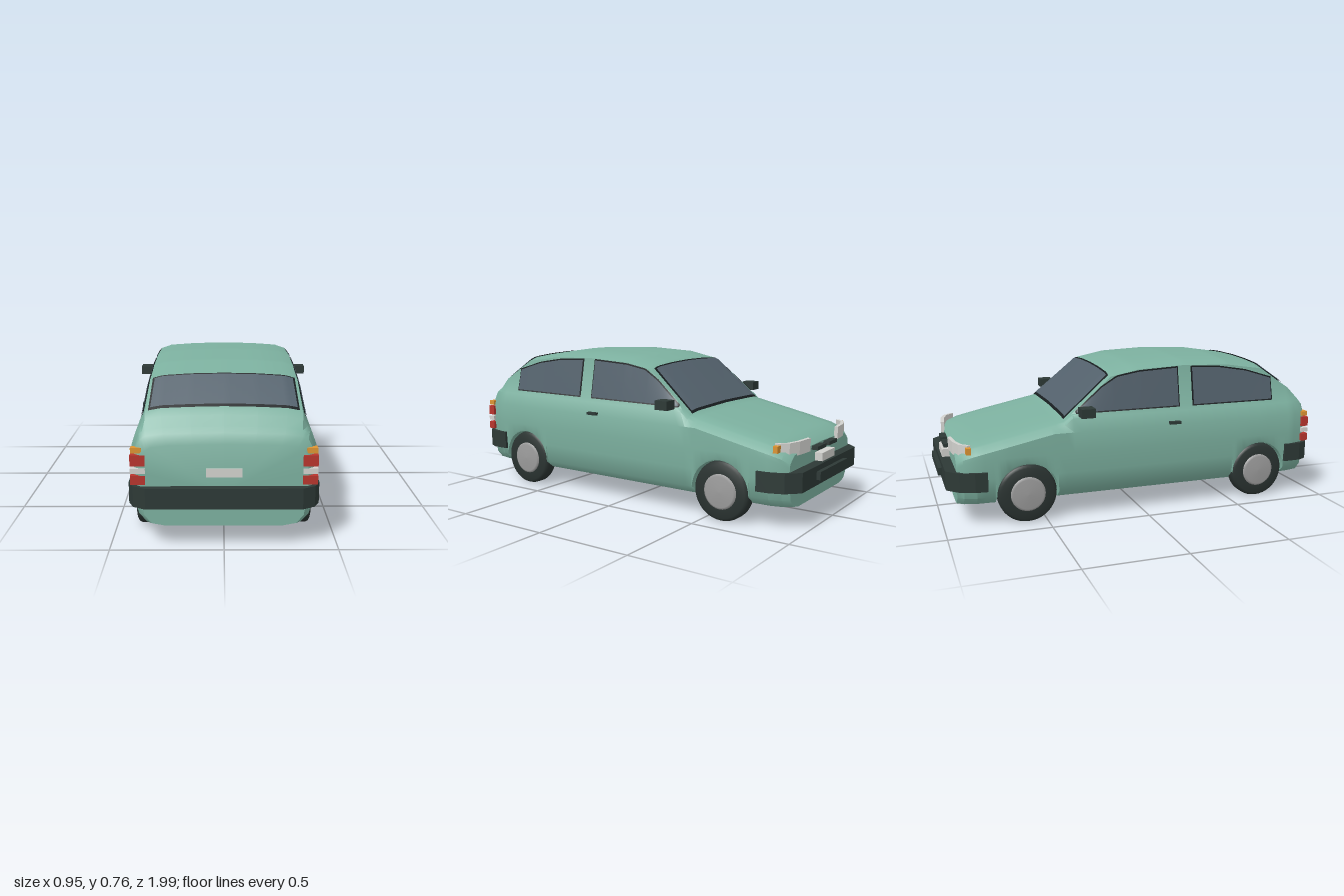
import * as THREE from 'three';
import { toCreasedNormals } from 'three/addons/utils/BufferGeometryUtils.js';
import { ParametricGeometry } from 'three/addons/geometries/ParametricGeometry.js';

const material = (name, color, side = THREE.FrontSide) => {
  const m = new THREE.MeshStandardMaterial({ color, side });
  m.name = name;
  return m;
};
const lerp = THREE.MathUtils.lerp;
const WHEEL_Z = [-0.595, 0.665], WHEEL_R = 0.147, ARCH_R = 0.153;

// Body stations along the car: z, top height, width factor
const STATIONS = [
  [-0.93, 0.365, 0.87], [-0.9, 0.39, 0.94], [-0.84, 0.41, 0.985], [-0.7, 0.44, 1], [-0.4, 0.502, 1],
  [-0.15, 0.72, 1], [0, 0.75, 1], [0.25, 0.76, 1], [0.5, 0.75, 1], [0.69, 0.72, 1],
  [0.86, 0.6, 0.99], [0.94, 0.515, 0.94], [0.96, 0.47, 0.88],
];

// Half cross-section at z, from bottom centre to top centre
function section(z, arch = 0) {
  let i = 0;
  while (i < STATIONS.length - 2 && z > STATIONS[i + 1][0]) i++;
  const [a, b] = [STATIONS[i], STATIONS[i + 1]];
  const k = (z - a[0]) / (b[0] - a[0]);
  const top = lerp(a[1], b[1], k), w = lerp(a[2], b[2], k), base = 0.097;
  const t = THREE.MathUtils.clamp((top - 0.5) / 0.24, 0, 1);
  const pts = [
    [0, base], [0.29, base], [0.36, base + 0.012], [0.395, base + 0.05],
    [0.41, 0.24], [0.413, Math.min(0.34, top - 0.07)], [0.41, Math.min(0.44, top - 0.05)],
    [0.385, Math.min(0.505, top - 0.03)], [0.37, Math.min(0.525, top - 0.022)],
    [lerp(0.36, 0.332, t), top - lerp(0.015, 0.03, t)], [0.28, top - lerp(0.006, 0.012, t)],
    [0.15, top - 0.003], [0, top],
  ].map(([x, y]) => [x * w, y]);
  if (arch) {
    pts[2] = [0.3, arch];
    pts[3] = [0.407 * w, arch];
    pts[4][1] = Math.max(pts[4][1], arch + 0.008);
    pts[5][1] = Math.max(pts[5][1], arch + 0.016);
  }
  return pts;
}

// Look up the body surface: side x at a height, top y at a width
function lookup(pts, axis, value) {
  for (let i = 0; i < pts.length - 1; i++) {
    const a = pts[i], b = pts[i + 1], lo = Math.min(a[axis], b[axis]), hi = Math.max(a[axis], b[axis]);
    if (value >= lo && value <= hi && hi > lo)
      return lerp(a[1 - axis], b[1 - axis], (value - a[axis]) / (b[axis] - a[axis]));
  }
  return pts[0][1 - axis];
}
const sideX = (y, z) => lookup(section(z).slice(3, 10), 1, y);
const topY = (x, z) => lookup(section(z).slice(7), 0, Math.abs(x));

// Lofted shell with wheel arches cut into its flanks
function bodyGeometry() {
  const inArch = z => WHEEL_Z.some(c => Math.abs(z - c) < ARCH_R + 0.004);
  const rings = STATIONS.map(s => [s[0], 0]);
  for (let z = -0.8; z < 0.94; z += 0.04) rings.push([z, 0]);
  const list = rings.filter(r => !inArch(r[0]));
  for (const c of WHEEL_Z) {
    list.push([c - ARCH_R - 0.001, 0], [c + ARCH_R + 0.001, 0]);
    for (let i = 0; i <= 20; i++) {
      const a = Math.PI * i / 20;
      list.push([c - ARCH_R * Math.cos(a), WHEEL_R + ARCH_R * Math.sin(a)]);
    }
  }
  list.sort((a, b) => a[0] - b[0]);
  const loops = list.map(([z, arch]) => {
    const half = section(z, arch);
    const mirror = half.slice(1, -1).reverse().map(([x, y]) => [-x, y]);
    return half.concat(mirror).map(([x, y]) => [x, y, z]);
  });
  const n = loops[0].length, pos = [];
  const tri = (...p) => p.forEach(v => pos.push(...v));
  const first = loops[0], last = loops[loops.length - 1];
  for (let j = 0; j < n; j++) {
    const k = (j + 1) % n;
    for (let i = 0; i < loops.length - 1; i++) {
      const a = loops[i][j], b = loops[i][k], c = loops[i + 1][k], d = loops[i + 1][j];
      tri(a, b, c);
      tri(a, c, d);
    }
    tri([0, 0.25, first[0][2]], first[k], first[j]);
    tri([0, 0.25, last[0][2]], last[j], last[k]);
  }
  const g = new THREE.BufferGeometry();
  g.setAttribute('position', new THREE.Float32BufferAttribute(pos, 3));
  return toCreasedNormals(g, 0.6);
}

// Flat plan outline [x, z] raised between two heights
function slab(points, y0, y1) {
  const shape = new THREE.Shape(points.map(p => new THREE.Vector2(p[0], p[1])));
  return new THREE.ExtrudeGeometry(shape, { depth: y1 - y0, bevelEnabled: false })
    .rotateX(Math.PI / 2).translate(0, y1, 0);
}

export function createModel() {
  const car = new THREE.Group();
  car.name = 'hatchbackCar';
  const paint = material('greenPaint', 0x7cb09f);
  const glass = material('tintedGlass', 0x53616c, THREE.DoubleSide);
  const seal = material('blackSeal', 0x171c1e, THREE.DoubleSide);
  const plastic = material('darkPlastic', 0x2d3936);
  const rubber = material('tyreRubber', 0x2a3331);
  const metal = material('hubGrey', 0x9c9c9c);
  const white = material('lampWhite', 0xd2d2ce);
  const red = material('lampRed', 0xb8352d);
  const orange = material('lampOrange', 0xdc9433);

  const add = (name, geometry, mat) => {
    const m = new THREE.Mesh(geometry, mat);
    m.name = name;
    car.add(m);
    return m;
  };
  // Box from its lower and upper limits on each axis
  const box = (name, mat, x0, x1, y0, y1, z0, z1) =>
    add(name, new THREE.BoxGeometry(Math.abs(x1 - x0), y1 - y0, z1 - z0), mat)
      .position.set((x0 + x1) / 2, (y0 + y1) / 2, (z0 + z1) / 2);

  add('body', bodyGeometry(), paint);

  // Windscreen and rear window follow the top of the body
  const screen = (name, z0, z1, w0, w1) => {
    for (const [part, mat, grow, lift] of [['Seal', seal, 0.009, 0.005], ['Glass', glass, 0, 0.009]])
      add(name + part, new ParametricGeometry((u, v, p) => {
        const z = lerp(z0 - grow, z1 + grow, v), x = (u * 2 - 1) * (lerp(w0, w1, v) + grow);
        p.set(x, topY(x, z) + lift, z);
      }, 24, 12), mat);
  };
  screen('windscreen', -0.39, -0.165, 0.33, 0.305);
  screen('rearWindow', 0.7, 0.845, 0.312, 0.322);

  // Side windows: upper outline [z, y] above a level sill
  const sideWindow = (name, s, outline) => {
    const zs = outline.map(p => p[0]), z0 = zs[0], z1 = zs[zs.length - 1];
    for (const [part, mat, grow, lift] of [['Seal', seal, 0.007, 0.004], ['Glass', glass, 0, 0.008]])
      add(name + part, new ParametricGeometry((u, v, p) => {
        const z = lerp(z0 - grow, z1 + grow, u);
        const upper = lookup(outline, 0, THREE.MathUtils.clamp(z, z0, z1));
        const hi = Math.min(upper + grow, section(z)[9][1] - 0.007 + grow);
        const lo = Math.min(0.53 - grow, hi);
        const y = lerp(lo, hi, v);
        p.set(s * (sideX(y, z) + lift), y, z);
      }, 36, 6), mat);
  };

  for (const s of [1, -1]) {
    const side = s > 0 ? 'left' : 'right';
    sideWindow(side + 'FrontWindow', s, [[-0.335, 0.54], [-0.24, 0.62], [-0.12, 0.69], [0, 0.71], [0.205, 0.72]]);
    sideWindow(side + 'BackWindow', s, [[0.29, 0.718], [0.45, 0.71], [0.6, 0.685], [0.745, 0.64]]);

    // Wheels
    const tyre = [[0.08, -0.04], [0.13, -0.04], [0.142, -0.033], [0.147, -0.02],
      [0.147, 0.02], [0.142, 0.033], [0.13, 0.04], [0.08, 0.04]].map(p => new THREE.Vector2(...p));
    const hub = [[0.088, 0.03], [0.086, 0.043], [0.075, 0.05], [0, 0.053]].map(p => new THREE.Vector2(...p));
    WHEEL_Z.forEach((z, i) => {
      const wheel = new THREE.Group();
      wheel.name = side + (i ? 'BackWheel' : 'FrontWheel');
      const tyreMesh = new THREE.Mesh(toCreasedNormals(new THREE.LatheGeometry(tyre, 40), 0.7), rubber);
      const hubMesh = new THREE.Mesh(new THREE.LatheGeometry(hub, 32), metal);
      const inner = new THREE.Mesh(new THREE.CylinderGeometry(0.085, 0.085, 0.07, 24), rubber);
      tyreMesh.name = 'tyre';
      hubMesh.name = 'hubcap';
      inner.name = 'innerRim';
      wheel.add(tyreMesh, hubMesh, inner);
      wheel.rotation.z = -s * Math.PI / 2;
      wheel.position.set(s * 0.36, WHEEL_R, z);
      car.add(wheel);
    });

    // Door mirror and handle
    box(side + 'Mirror', plastic, s * 0.407, s * 0.475, 0.52, 0.565, -0.34, -0.27);
    box(side + 'MirrorArm', plastic, s * 0.36, s * 0.425, 0.512, 0.526, -0.315, -0.285);
    box(side + 'DoorHandle', plastic, s * 0.4, s * 0.424, 0.443, 0.457, 0.14, 0.2);

    // Headlamp wrapping the nose corner, with its indicator
    const face = [[0.17, -0.945], [0.27, -0.935], [0.335, -0.915], [0.372, -0.875]];
    const back = face.map(([x, z]) => [x - 0.005, z + 0.017]).reverse();
    add(side + 'Headlamp', slab([...face, ...back].map(([x, z]) => [s * x, z]), 0.345, 0.408), white);
    box(side + 'FrontIndicator', orange, s * 0.365, s * 0.398, 0.368, 0.4, -0.885, -0.862);

    // Rear lamp stack
    box(side + 'RearIndicator', orange, s * 0.355, s * 0.402, 0.427, 0.451, 0.925, 0.957);
    box(side + 'BrakeLamp', red, s * 0.34, s * 0.405, 0.37, 0.42, 0.925, 0.963);
    box(side + 'ReverseLamp', white, s * 0.34, s * 0.405, 0.337, 0.36, 0.925, 0.963);
    box(side + 'TailLamp', red, s * 0.34, s * 0.405, 0.288, 0.328, 0.925, 0.963);

    // Nose slot
    box(side + 'NoseSlot', plastic, s * 0.02, s * 0.12, 0.342, 0.36, -0.962, -0.92);
  }

  // Bumpers with tapered corners
  const bumper = half => [...half, ...half.map(([x, z]) => [-x, z]).reverse()];
  add('frontBumper', slab(bumper([[0.42, -0.79], [0.415, -0.85], [0.39, -0.92], [0.33, -0.98]]), 0.185, 0.28), plastic);
  add('rearBumper', slab(bumper([[0.42, 0.82], [0.418, 0.91], [0.395, 0.96], [0.34, 0.992]]), 0.185, 0.28), plastic);
  box('bumperIntake', plastic, -0.17, 0.17, 0.213, 0.253, -1, -0.97);

  // Number plates, left blank
  box('frontPlate', white, -0.078, 0.078, 0.282, 0.322, -0.968, -0.92);
  box('rearPlate', white, -0.078, 0.078, 0.323, 0.361, 0.95, 0.968);
  return car;
}
